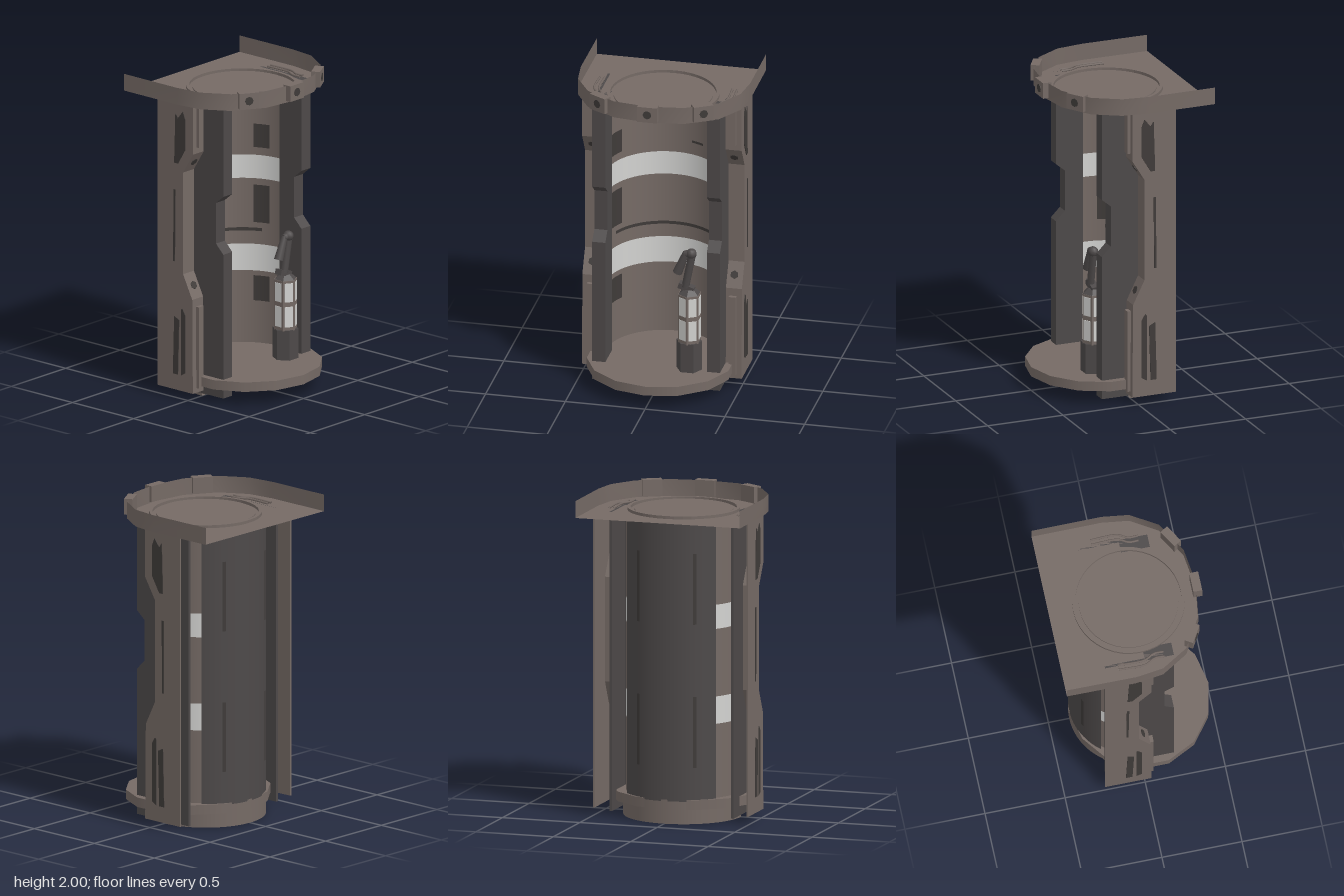
import * as THREE from 'three';

const mat = (name, color, side = THREE.FrontSide) => {
  const m = new THREE.MeshStandardMaterial({ color, side });
  m.name = name;
  return m;
};

export function createModel() {
  const D = THREE.DoubleSide;
  const brown = mat('warm grey metal', 0x756a65, D);
  const dark = mat('dark grey metal', 0x4d4949, D);
  const white = mat('white paint', 0xd2d2d0, D);
  const stain = mat('dark recess', 0x3f3b39, D);
  const root = new THREE.Group();
  root.name = 'alcovePod';

  const add = (name, geo, m, x = 0, y = 0, z = 0) => {
    const mesh = new THREE.Mesh(geo, m);
    mesh.name = name;
    mesh.position.set(x, y, z);
    root.add(mesh);
    return mesh;
  };
  const box = (name, m, w, h, d, x, y, z) => add(name, new THREE.BoxGeometry(w, h, d), m, x, y, z);
  // curved wall, angles measured from the back (positive towards +x)
  const arc = (name, m, r, y0, y1, a0, a1) => add(name,
    new THREE.CylinderGeometry(r, r, y1 - y0, 40, 1, true, Math.PI - a1, a1 - a0), m, 0, (y0 + y1) / 2, 0);
  // [z, y] profile extruded across x0..x1 on side s
  const profile = (name, m, pts, x0, x1, s) => {
    const shape = new THREE.Shape(pts.map(p => new THREE.Vector2(p[0], p[1])));
    const geo = new THREE.ExtrudeGeometry(shape, { depth: x1 - x0, bevelEnabled: false });
    geo.rotateY(-Math.PI / 2);
    return add(name, geo, m, s > 0 ? x1 : -x0, 0, 0);
  };

  // Back wall with two painted bands
  const levels = [0.1, 0.61, 0.78, 1.2, 1.35, 1.89];
  for (let i = 0; i < 5; i++)
    arc(i % 2 ? 'whiteBand' : 'innerWall', i % 2 ? white : brown, 0.352, levels[i], levels[i + 1], -1.65, 1.65);
  arc('backShell', dark, 0.37, 0.14, 1.89, -0.89, 0.89);
  arc('wallSeam', stain, 0.348, 0.865, 0.885, -1.2, 1.2);
  arc('wallMark', stain, 0.348, 1.43, 1.445, 0.3, 0.55);
  for (const s of [-1, 1]) {
    for (const [y0, y1] of [[0.42, 0.58], [0.92, 1.16], [1.4, 1.55]])
      arc('wallMark', stain, 0.348, y0, y1, 1.19 * s - 0.15, 1.19 * s + 0.15);
    for (const y of [0.35, 1.24])
      arc('backSlot', stain, 0.374, y, y + 0.44, 0.51 * s - 0.03, 0.51 * s + 0.03);
  }

  // Floor and base drum
  add('floorDisc', new THREE.CylinderGeometry(0.455, 0.455, 0.06, 14), brown, 0, 0.12, 0.063).scale.z = 0.96;
  arc('baseDrum', brown, 0.37, 0, 0.14, -Math.PI / 2, Math.PI / 2);
  arc('baseDrumLining', brown, 0.34, 0, 0.1, -Math.PI / 2, Math.PI / 2);
  const lip = add('baseLip', new THREE.RingGeometry(0.34, 0.37, 32, 1, 0, Math.PI), brown, 0, 0.001, 0);
  lip.rotation.x = -Math.PI / 2;

  // Side panels
  const front = [[0.04, 0.05], [0.035, 0.65], [-0.04, 0.8], [-0.04, 1.45], [0.04, 1.58], [0.04, 1.89]];
  for (const s of [-1, 1]) {
    // Inner dark panel with a notched front edge
    const edge = [[0.2, 0.03], [0.2, 0.95], [0.14, 1.01], [0.14, 1.27], [0.2, 1.32], [0.2, 1.89]];
    profile('innerPanel', dark, [[-0.23, 0.03], ...edge, [-0.23, 1.89]], 0.385, 0.4, s);
    profile('innerJamb', dark, [[0.02, 0.03], ...edge, [0.02, 1.89]], 0.318, 0.385, s);
    // Outer folded panel
    profile('outerPanel', brown, [[-0.25, 0.05], ...front, [-0.25, 1.89]], 0.49, 0.5, s);
    const inset = front.map(([z, y]) => [z - 0.015, y]).reverse();
    profile('outerPanelFront', brown, [...front, ...inset], 0.4, 0.49, s);
    box('upperTrim', brown, 0.045, 0.27, 0.03, 0.445 * s, 1.755, 0.045);
    box('lowerTrim', brown, 0.045, 0.52, 0.03, 0.445 * s, 0.34, 0.045);
    // Bolt recesses on the slanted faces
    for (const [y, z, tilt] of [[1.515, 0, 2.12], [0.725, -0.003, 1.13]]) {
      const bolt = add('boltRecess', new THREE.CylinderGeometry(0.026, 0.026, 0.008, 6), stain, 0.445 * s, y, z);
      bolt.rotation.x = tilt;
    }
    // Side recesses
    profile('sideRecess', stain, [[-0.11, 1.5], [-0.08, 1.5], [-0.02, 1.6], [-0.02, 1.79], [-0.04, 1.84], [-0.08, 1.79], [-0.1, 1.82]], 0.5, 0.504, s);
    profile('sideRecess', stain, [[-0.055, 0.15], [-0.02, 0.17], [-0.02, 0.54], [-0.045, 0.58], [-0.055, 0.57]], 0.5, 0.504, s);
    profile('sideRecess', stain, [[-0.12, 0.15], [-0.08, 0.15], [-0.07, 0.5], [-0.11, 0.52]], 0.5, 0.504, s);
    profile('sideRecess', stain, [[-0.118, 0.87], [-0.105, 0.87], [-0.1, 1.33], [-0.115, 1.33]], 0.5, 0.504, s);
  }

  // Roof plate and thin rim, open at the back
  const half = [[0.53, -0.495], [0.532, -0.06], [0.51, 0.11], [0.41, 0.275], [0.22, 0.39], [0, 0.42]];
  const outline = [...half, ...half.slice(0, 5).reverse().map(([x, z]) => [-x, z])];
  const roof = new THREE.ShapeGeometry(new THREE.Shape(outline.map(([x, z]) => new THREE.Vector2(x, -z))));
  add('roofPlate', roof.rotateX(-Math.PI / 2), brown, 0, 1.89, 0);
  const rim = new THREE.BufferGeometry();
  rim.setAttribute('position', new THREE.Float32BufferAttribute(
    outline.flatMap(([x, z]) => [x, 1.888, z, x, 1.995, z]), 3));
  rim.setIndex(outline.slice(1).flatMap((p, i) => [2 * i, 2 * i + 1, 2 * i + 2, 2 * i + 1, 2 * i + 3, 2 * i + 2]));
  rim.computeVertexNormals();
  add('roofRim', rim, brown);
  // Blocks on the rim
  for (const [x, z, a] of [[0, 0.42, 0], [0.32, 0.33, 0.54], [-0.32, 0.33, -0.54]]) {
    const block = box('rimBlock', brown, 0.125, 0.1, 0.055, x, 1.95, z);
    block.rotation.y = a;
    const g = new THREE.CylinderGeometry(0.027, 0.027, 0.004, 8).rotateX(Math.PI / 2).translate(0, 0, 0.028);
    add('rimBlockRecess', g, stain, x, 1.95, z).rotation.y = a;
  }
  // Roof lid ring and cable rods
  add('roofLid', new THREE.CylinderGeometry(0.305, 0.305, 0.012, 40), brown, 0, 1.893, 0);
  const ring = [[0.325, 1.885], [0.325, 1.908], [0.345, 1.908], [0.345, 1.885]].map(p => new THREE.Vector2(...p));
  add('roofRing', new THREE.LatheGeometry(ring, 40).toNonIndexed(), brown).geometry.computeVertexNormals();
  for (const s of [-1, 1]) for (const x of [0.4, 0.43]) {
    const path = new THREE.CatmullRomCurve3([[x, -0.15], [x, 0.02], [x - 0.03, 0.08], [x - 0.03, 0.14]]
      .map(([px, z]) => new THREE.Vector3(px * s, 1.9, z)));
    add('roofCable', new THREE.TubeGeometry(path, 12, 0.007, 5), brown);
  }

  // Canister with holder, labels, valve and nozzle
  const flat = g => { g = g.toNonIndexed(); g.computeVertexNormals(); return g; };
  const hex = (r0, r1, h) => flat(new THREE.CylinderGeometry(r1, r0, h, 6));
  const cx = 0.203, cz = 0.172;
  add('canisterHolder', hex(0.08, 0.08, 0.19), dark, cx, 0.245, cz).rotation.y = Math.PI / 6;
  add('canister', hex(0.074, 0.074, 0.32), brown, cx, 0.495, cz);
  for (let i = 0; i < 6; i++) {
    const a = (i + 0.5) * Math.PI / 3, r = 0.0645;
    for (const [y, h] of [[0.425, 0.13], [0.58, 0.12]])
      box('canisterLabel', white, 0.052, h, 0.005, cx + r * Math.sin(a), y, cz + r * Math.cos(a)).rotation.y = a;
  }
  add('canisterShoulder', hex(0.07, 0.035, 0.03), dark, cx, 0.67, cz);
  box('valve', dark, 0.1, 0.035, 0.05, 0.185, 0.695, cz).rotation.z = -0.3;
  const rod = (name, r0, r1, x0, y0, x1, y1) => {
    const g = new THREE.CylinderGeometry(r1, r0, Math.hypot(x1 - x0, y1 - y0), 8);
    add(name, g, dark, (x0 + x1) / 2, (y0 + y1) / 2, cz + 0.01).rotation.z = -Math.atan2(x1 - x0, y1 - y0);
  };
  rod('hose', 0.024, 0.024, 0.18, 0.7, 0.222, 0.92);
  rod('nozzle', 0.03, 0.02, 0.13, 0.79, 0.185, 0.93);
  add('hoseElbow', new THREE.SphereGeometry(0.033, 10, 8), dark, 0.218, 0.925, cz + 0.01);
  rod('hoseTop', 0.022, 0.022, 0.175, 0.92, 0.22, 0.93);

  return root;
}
